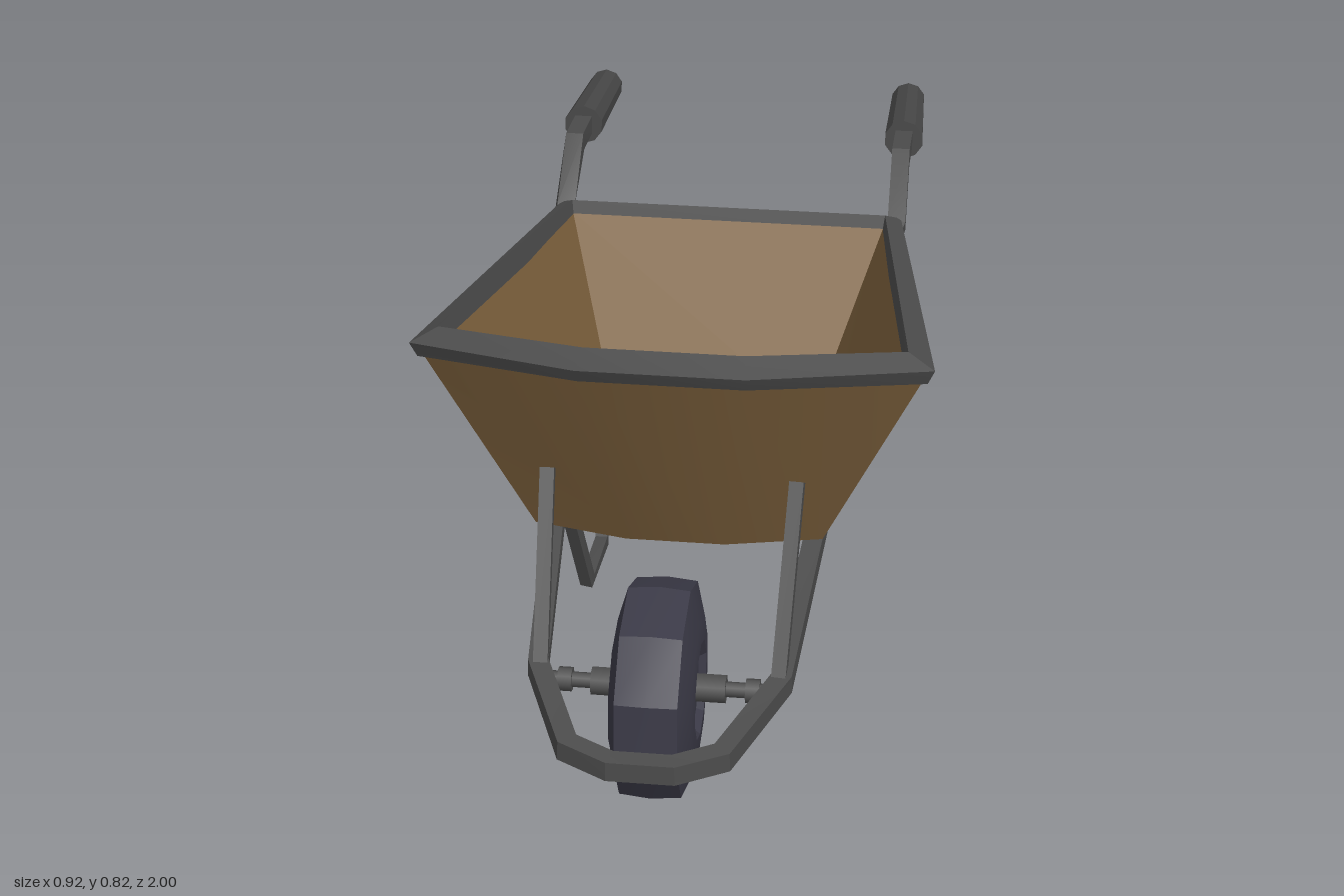
import * as THREE from 'three';
import { toCreasedNormals } from 'three/addons/utils/BufferGeometryUtils.js';

const V = (x, y, z) => new THREE.Vector3(x, y, z);

const material = (name, color) => {
  const m = new THREE.MeshStandardMaterial({ color });
  m.name = name;
  return m;
};

// Geometry from a list of points and polygons (fanned into triangles)
function polyGeometry(points, polys, crease = 0.5) {
  const index = [];
  for (const p of polys) for (let i = 1; i < p.length - 1; i++) index.push(p[0], p[i], p[i + 1]);
  const g = new THREE.BufferGeometry().setFromPoints(points);
  g.setIndex(index);
  return toCreasedNormals(g, crease);
}

// Rectangular bar swept along a path with mitred corners
function bar(path, width, height) {
  const pts = [], polys = [];
  const dir = i => path[i + 1].clone().sub(path[i]).normalize();
  const last = path.length - 1;
  path.forEach((p, i) => {
    const d = dir(Math.max(i - 1, 0));
    const t = d.clone().add(dir(Math.min(i, last - 1))).normalize();
    const side = V(0, 1, 0).cross(d).normalize();
    const up = d.clone().cross(side);
    for (const [a, b] of [[1, 1], [-1, 1], [-1, -1], [1, -1]]) {
      const o = side.clone().multiplyScalar(a * width / 2).addScaledVector(up, b * height / 2);
      o.addScaledVector(d, -o.dot(t) / d.dot(t));
      pts.push(o.add(p));
    }
    if (i < last) for (let j = 0; j < 4; j++) {
      const k = (j + 1) % 4;
      polys.push([i * 4 + j, i * 4 + k, i * 4 + 4 + k, i * 4 + 4 + j]);
    }
  });
  const e = last * 4;
  polys.push([3, 2, 1, 0], [e, e + 1, e + 2, e + 3]);
  return polyGeometry(pts, polys, 0.3);
}

// Six-sided loop from its left half: back corner, front corner, nose
const ring = half => [
  ...half.map(p => V(...p)),
  ...half.slice().reverse().map(([x, y, z]) => V(-x, y, z)),
];

// Skin between successive loops; optionally closed into a tube or capped at an end
function loft(rings, { closed = false, startCap = false, endCap = false } = {}) {
  const n = rings[0].length, polys = [];
  const count = closed ? rings.length : rings.length - 1;
  for (let i = 0; i < count; i++) for (let j = 0; j < n; j++) {
    const a = i * n, b = ((i + 1) % rings.length) * n, k = (j + 1) % n;
    polys.push([a + j, b + j, b + k, a + k]);
  }
  const ids = [...Array(n).keys()];
  if (startCap) polys.push(ids);
  if (endCap) polys.push(ids.map(i => rings.length * n - 1 - i));
  return polyGeometry(rings.flat(), polys);
}

// Cylinder between two points
function rod(a, b, r0, r1, sides) {
  const d = b.clone().sub(a);
  const g = new THREE.CylinderGeometry(r1, r0, d.length(), sides);
  g.applyQuaternion(new THREE.Quaternion().setFromUnitVectors(V(0, 1, 0), d.normalize()));
  const c = a.clone().add(b).multiplyScalar(0.5);
  return g.translate(c.x, c.y, c.z);
}

export function createModel() {
  const model = new THREE.Group();
  model.name = 'wheelbarrow';
  const wood = material('tub brown', 0x7c603c);
  const steel = material('frame grey', 0x4d4d4d);
  const rubber = material('tyre dark', 0x3b3a47);
  const gripMat = material('grip grey', 0x474747);
  const add = (name, geometry, mat) => {
    const m = new THREE.Mesh(geometry, mat);
    m.name = name;
    model.add(m);
    return m;
  };

  // Tub: outer shell and inner lining
  add('tubOuter', loft([
    ring([[0.215, 0.258, -0.125], [0.265, 0.343, 0.45], [0.09, 0.35, 0.5]]),
    ring([[0.338, 0.57, -0.412], [0.445, 0.75, 0.55], [0.143, 0.785, 0.675]]),
  ], { startCap: true }), wood);
  add('tubInner', loft([
    ring([[0.318, 0.575, -0.38], [0.41, 0.755, 0.53], [0.138, 0.79, 0.64]]),
    ring([[0.2, 0.28, -0.1], [0.25, 0.355, 0.42], [0.08, 0.364, 0.475]]),
  ], { endCap: true }), wood);

  // Rim around the tub mouth
  add('rim', loft([
    ring([[0.34, 0.545, -0.412], [0.448, 0.735, 0.552], [0.144, 0.775, 0.682]]),
    ring([[0.35, 0.572, -0.43], [0.46, 0.765, 0.56], [0.146, 0.802, 0.695]]),
    ring([[0.32, 0.597, -0.388], [0.412, 0.787, 0.535], [0.139, 0.821, 0.645]]),
    ring([[0.315, 0.56, -0.372], [0.405, 0.755, 0.528], [0.136, 0.79, 0.637]]),
  ], { closed: true }), steel);

  // Continuous frame: both handles joined by a loop ahead of the wheel
  const half = [
    [0.34, 0.632, -0.7], [0.34, 0.648, -0.565], [0.342, 0.56, -0.425],
    [0.222, 0.254, -0.138], [0.25, 0.307, 0.29], [0.218, 0.215, 0.73],
    [0.135, 0.198, 0.94], [0.055, 0.195, 0.982],
  ];
  add('frame', bar(ring(half), 0.036, 0.038), steel);

  for (const s of [1, -1]) {
    const label = s > 0 ? 'left' : 'right';
    const path = pts => pts.map(([x, y, z]) => V(x * s, y, z));
    // Leg, front brace and grip
    add(label + 'Leg', bar(path([
      [0.235, 0.295, 0.285], [0.216, 0.042, 0.172], [0.215, 0.015, -0.018], [0.222, 0.25, -0.138],
    ]), 0.024, 0.024), steel);
    add(label + 'Brace', bar(path([[0.212, 0.205, 0.745], [0.224, 0.515, 0.54]]), 0.026, 0.026), steel);
    const [a, b, c] = path([[0.34, 0.634, -0.68], [0.334, 0.598, -0.975], [0.3335, 0.595, -0.998]]);
    add(label + 'Grip', toCreasedNormals(rod(a, b, 0.041, 0.036, 10), 0.4), gripMat);
    add(label + 'GripEnd', toCreasedNormals(rod(b, c, 0.031, 0.028, 10), 0.4), gripMat);
    // Axle collars
    add(label + 'Hub', rod(V(s * 0.06, 0.2, 0.74), V(s * 0.12, 0.2, 0.74), 0.026, 0.026, 10), steel);
    add(label + 'AxleNut', rod(V(s * 0.155, 0.2, 0.74), V(s * 0.18, 0.2, 0.74), 0.022, 0.022, 8), steel);
  }

  // Axle
  add('axle', rod(V(-0.21, 0.2, 0.74), V(0.21, 0.2, 0.74), 0.014, 0.014, 8), steel);

  // Ten-sided wheel with tapered shoulders and dished centre
  const profile = [
    [0, -0.062], [0.08, -0.062], [0.09, -0.075], [0.13, -0.073], [0.193, -0.055],
    [0.198, 0], [0.193, 0.055], [0.13, 0.073], [0.09, 0.075], [0.08, 0.062], [0, 0.062],
  ].map(p => new THREE.Vector2(...p));
  const wheel = new THREE.LatheGeometry(profile, 10, THREE.MathUtils.degToRad(96));
  wheel.rotateZ(Math.PI / 2);
  const tyre = add('wheel', toCreasedNormals(wheel, 0.35), rubber);
  tyre.position.set(0, 0.199, 0.744);

  return model;
}
